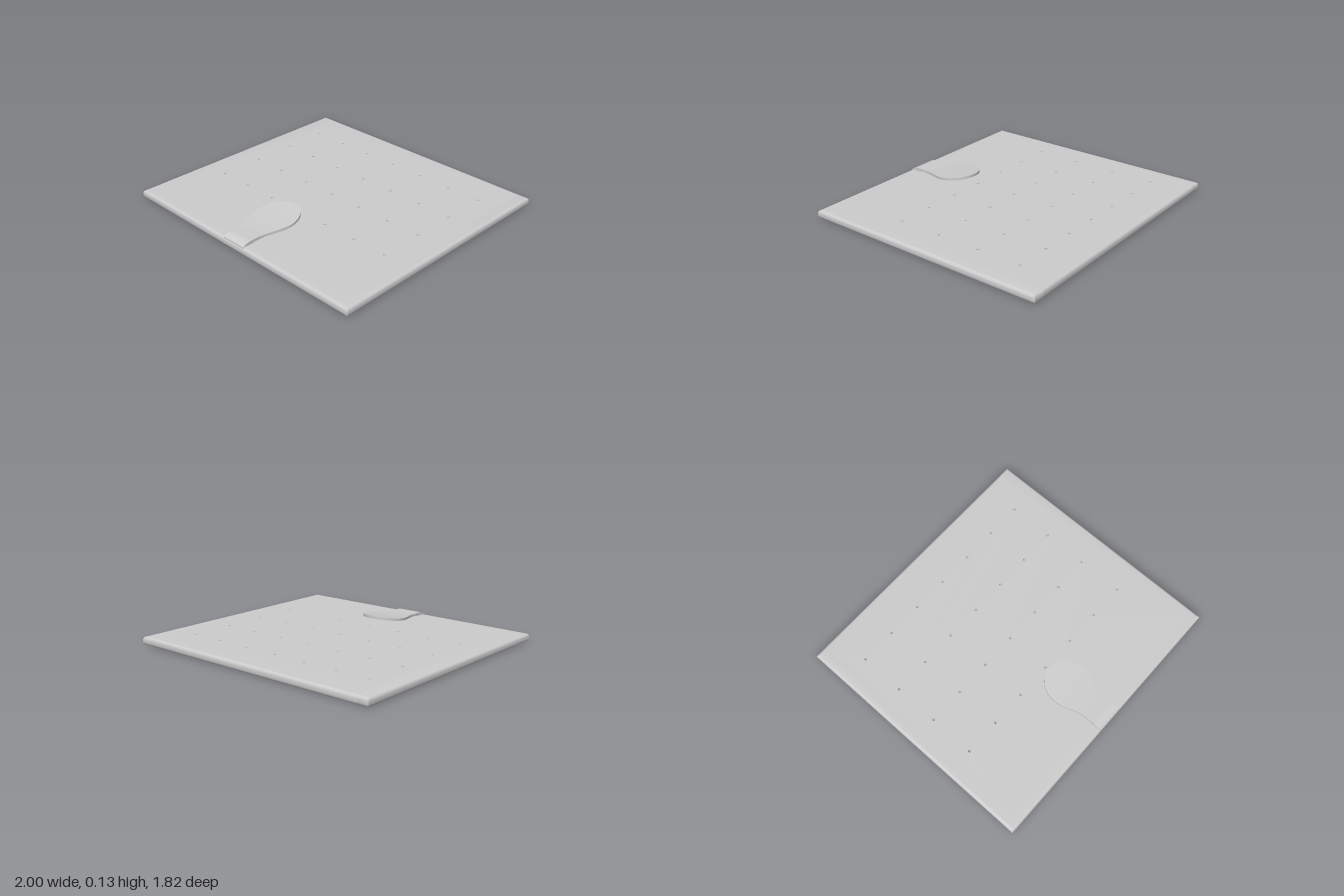
import * as THREE from 'three';
import { toCreasedNormals } from 'three/addons/utils/BufferGeometryUtils.js';

const H = 0.06, HALF_X = 1, HALF_Z = 0.91; // board size
const EDGE = 0.022, ARC = 4; // rounding of the outer edge
const IN_X = 0.916, IN_Z = 0.825, IN_R = 0.02; // seam between panel and frame

const material = new THREE.MeshStandardMaterial({ color: 0xcccccc });

function addMesh(group, name, geometry) {
  const mesh = new THREE.Mesh(toCreasedNormals(geometry, 0.6), material);
  mesh.name = name;
  group.add(mesh);
}

// Extrudes a plan (shape y = -z) upwards and rounds only the board's outer edges
function slab(shape) {
  const steps = 2 * ARC + 1;
  const g = new THREE.ExtrudeGeometry(shape, { depth: H, steps, bevelEnabled: false, curveSegments: 6 });
  g.rotateX(-Math.PI / 2);
  const p = g.attributes.position;
  for (let i = 0; i < p.count; i++) {
    const level = Math.round((p.getY(i) / H) * steps);
    const a = (Math.min(level, steps - level) / ARC) * Math.PI / 2;
    const rise = EDGE * (1 - Math.cos(a));
    const inset = EDGE * (1 - Math.sin(a));
    const x = p.getX(i), z = p.getZ(i);
    p.setXYZ(i,
      THREE.MathUtils.clamp(x, inset - HALF_X, HALF_X - inset),
      level <= ARC ? rise : H - rise,
      THREE.MathUtils.clamp(z, inset - HALF_Z, HALF_Z - inset));
  }
  return g;
}

// Seam line: down the left side, along the front, up the right side
function traceSeam(shape) {
  shape.lineTo(-IN_X, HALF_Z);
  shape.lineTo(-IN_X, -IN_Z + IN_R);
  shape.quadraticCurveTo(-IN_X, -IN_Z, -IN_X + IN_R, -IN_Z);
  shape.lineTo(IN_X - IN_R, -IN_Z);
  shape.quadraticCurveTo(IN_X, -IN_Z, IN_X, -IN_Z + IN_R);
  shape.lineTo(IN_X, HALF_Z);
}

function panelShape() {
  const s = new THREE.Shape();
  s.moveTo(-IN_X, HALF_Z);
  traceSeam(s);
  // grid of small through holes
  for (let row = 0; row < 4; row++) {
    for (let col = 0; col < 7; col++) {
      const hole = new THREE.Path();
      hole.absarc(-0.79 + col * 0.26, 0.632 - row * 0.324, 0.01, 0, Math.PI * 2, true);
      s.holes.push(hole);
    }
  }
  return s;
}

function frameShape() {
  const s = new THREE.Shape();
  s.moveTo(-HALF_X, HALF_Z);
  traceSeam(s);
  s.lineTo(HALF_X, HALF_Z);
  s.lineTo(HALF_X, -HALF_Z);
  s.lineTo(-HALF_X, -HALF_Z);
  return s;
}

// Spoon-shaped tab: a box bent and widened along z
function tabGeometry() {
  const tip = 0.37, end = 0.905, widest = 0.54, headR = 0.155, stemR = 0.096;
  const g = new THREE.BoxGeometry(1, 1, 1, 2, 1, 56);
  const p = g.attributes.position;
  for (let i = 0; i < p.count; i++) {
    const t = p.getZ(i) + 0.5;
    const z = tip + (end - tip) * (1 - Math.cos(t * Math.PI / 2));
    const half = z < widest
      ? headR * Math.sqrt(Math.max(0, 1 - ((widest - z) / (widest - tip)) ** 2))
      : headR - (headR - stemR) * THREE.MathUtils.smoothstep(z, widest, 0.77);
    const lift = Math.max(0, (0.76 - z) / 0.39);
    const drop = Math.max(0, (z - 0.84) / 0.065);
    const top = 0.084 + 0.046 * lift ** 1.4 - 0.022 * drop ** 2;
    const bottom = z > 0.82 ? 0.04 : top - 0.019; // the stem's foot sinks into the frame
    p.setXYZ(i, -0.008 + p.getX(i) * 2 * half, p.getY(i) > 0 ? top : bottom, z);
  }
  return g;
}

export function createModel() {
  const model = new THREE.Group();
  model.name = 'perforatedBoard';
  addMesh(model, 'panel', slab(panelShape()));
  addMesh(model, 'frame', slab(frameShape()));
  addMesh(model, 'pullTab', tabGeometry());
  return model;
}
